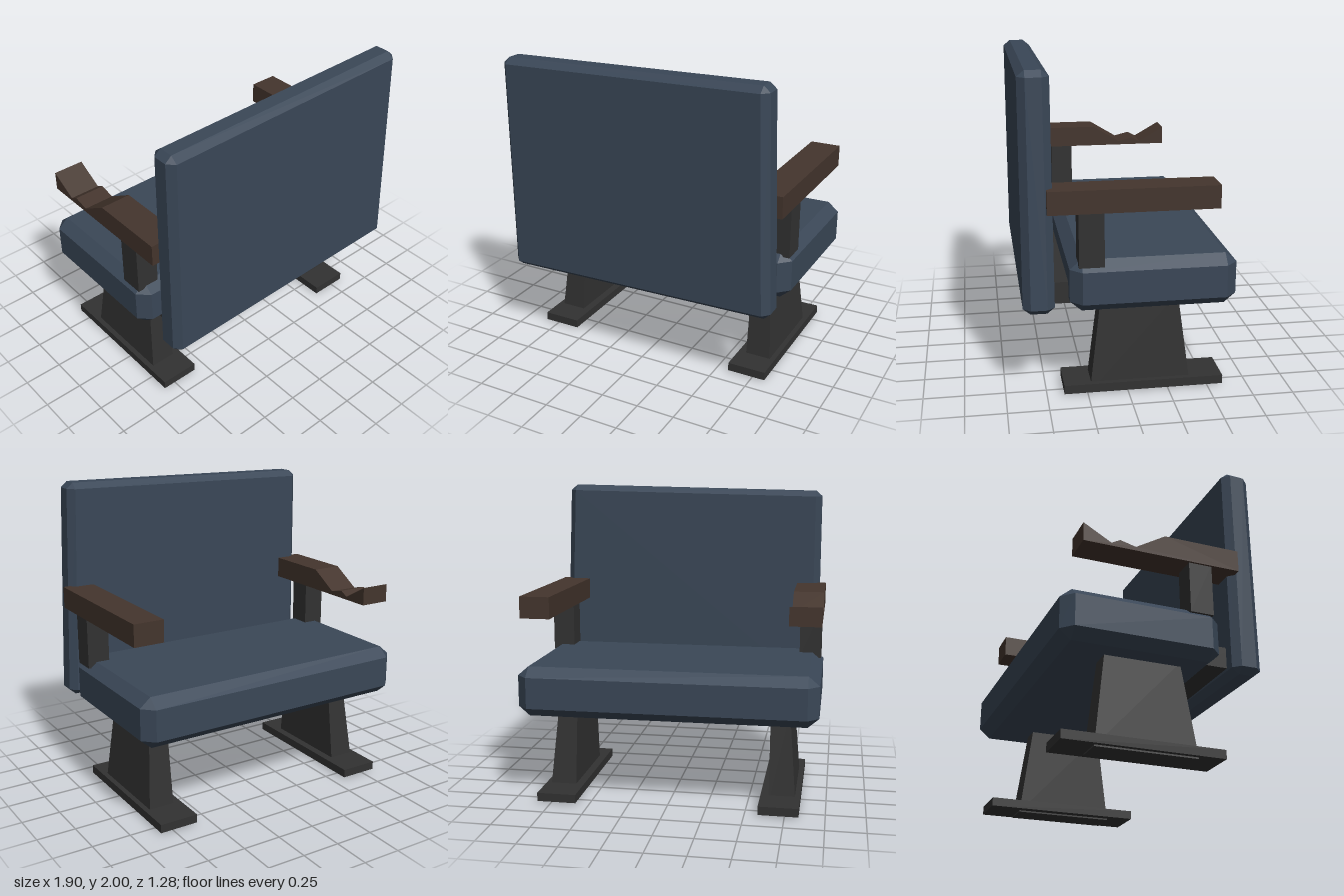
import * as THREE from 'three';
import { ConvexGeometry } from 'three/addons/geometries/ConvexGeometry.js';

const makeMaterial = (name, color) => {
  const m = new THREE.MeshStandardMaterial({ color });
  m.name = name;
  return m;
};

// Bevelled block; corner(sx, sy, sz) gives each sharp corner, bevel its inset per axis
function cushion(corner, [bx, by, bz]) {
  const points = [];
  for (const sx of [-1, 1]) for (const sy of [-1, 1]) for (const sz of [-1, 1]) {
    const [x, y, z] = corner(sx, sy, sz);
    const ix = x - sx * bx, iy = y - sy * by, iz = z - sz * bz;
    points.push(
      new THREE.Vector3(x, iy, iz),
      new THREE.Vector3(ix, y, iz),
      new THREE.Vector3(ix, iy, z)
    );
  }
  return new ConvexGeometry(points);
}

// Axis-aligned box from its ranges
function block([x0, x1], [y0, y1], [z0, z1]) {
  return new THREE.BoxGeometry(x1 - x0, y1 - y0, z1 - z0)
    .translate((x0 + x1) / 2, (y0 + y1) / 2, (z0 + z1) / 2);
}

// Side profile in [z, y], extruded across x
function sideProfile(points, x0, x1) {
  const shape = new THREE.Shape(points.map(([z, y]) => new THREE.Vector2(z, y)));
  return new THREE.ExtrudeGeometry(shape, { depth: x1 - x0, bevelEnabled: false })
    .rotateY(-Math.PI / 2)
    .translate(x1, 0, 0);
}

// Pedestal with a straight inner side, tapering on the other three
function pedestal(side) {
  const geo = new THREE.BoxGeometry(1, 1, 1);
  const p = geo.attributes.position;
  for (let i = 0; i < p.count; i++) {
    const top = p.getY(i) > 0;
    const outer = p.getX(i) * side > 0;
    const back = p.getZ(i) > 0;
    const x = outer ? (top ? 0.76 : 0.81) : 0.637;
    const z = back ? (top ? 0.16 : 0.235) : (top ? -0.317 : -0.395);
    p.setXYZ(i, side * x, top ? 0.6 : 0, z);
  }
  geo.computeVertexNormals();
  return geo;
}

export function createModel() {
  const group = new THREE.Group();
  const blue = makeMaterial('blue upholstery', 0x3a4757);
  const brown = makeMaterial('brown wood', 0x44352d);
  const grey = makeMaterial('dark grey metal', 0x323232);
  const add = (name, geometry, material) => {
    const mesh = new THREE.Mesh(geometry, material);
    mesh.name = name;
    group.add(mesh);
  };

  // Slightly crooked backrest
  add('backrest', cushion((sx, sy, sz) => [
    sx < 0 ? -0.905 : (sy > 0 ? 0.885 : 0.937),
    (sy > 0 ? 1.983 : 0.557) + sx * 0.018,
    sz > 0 ? 0.638 : (sy > 0 ? 0.455 : 0.45),
  ], [0.042, 0.037, 0.045]), blue);

  // Deep seat cushion
  add('seat', cushion((sx, sy, sz) => [
    sx * 0.948,
    sy > 0 ? 0.895 : 0.575,
    sz > 0 ? 0.36 : -0.638 - sx * 0.006,
  ], [0.07, 0.06, 0.07]), blue);

  // Bar joining seat and backrest
  add('connectingBar', block([-0.8, 0.8], [0.595, 0.73], [0.25, 0.5]), grey);

  // Whole armrest on the left, chipped one on the right
  add('leftArmrest', block([0.75, 0.945], [1.19, 1.33], [-0.52, 0.49]), brown);
  add('rightArmrest', sideProfile([
    [0.49, 1.19], [0.49, 1.33], [0, 1.33], [-0.19, 1.215], [-0.29, 1.24],
    [-0.345, 1.21], [-0.52, 1.31], [-0.52, 1.19],
  ], -0.948, -0.75), brown);

  // Arm posts, pedestals and floor plates on both sides
  for (const side of [-1, 1]) {
    const label = side > 0 ? 'left' : 'right';
    const span = (a, b) => (side > 0 ? [a, b] : [-b, -a]);
    add(label + 'ArmPost', block(span(0.79, 0.935), [0.86, 1.2], [0.16, 0.31]), grey);
    add(label + 'Pedestal', pedestal(side), grey);
    add(label + 'FloorPlate', block(span(0.585, 0.838), [0.01, 0.065], [-0.595, 0.395]), grey);
  }
  return group;
}
